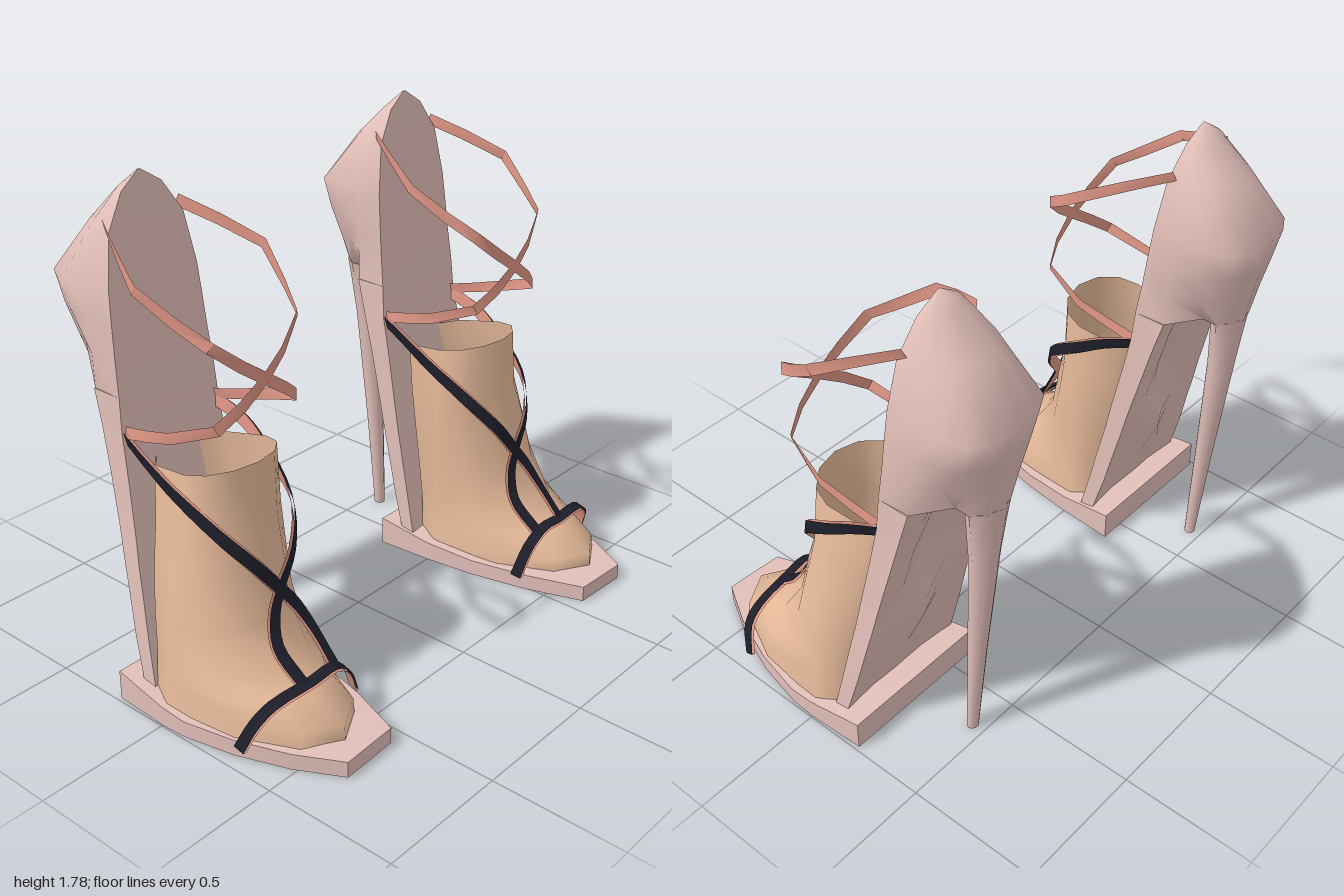
import * as THREE from 'three';
import { toCreasedNormals } from 'three/addons/utils/BufferGeometryUtils.js';

const V = (x, y, z) => new THREE.Vector3(x, y, z);

function indexed(points, index) {
  const g = new THREE.BufferGeometry().setFromPoints(points);
  g.setIndex(index);
  return g;
}

// Skin closed rings (listed bottom to top, counter-clockwise from above)
function loft(rings, capped = true) {
  const n = rings[0].length, points = rings.flat(), index = [];
  for (let i = 0; i < rings.length - 1; i++) {
    for (let j = 0; j < n; j++) {
      const a = i * n + j, b = i * n + (j + 1) % n;
      index.push(a, b, b + n, a, b + n, a + n);
    }
  }
  const cap = (ring, start, up) => {
    const c = V(0, 0, 0);
    ring.forEach((p) => c.addScaledVector(p, 1 / n));
    const k = points.push(c) - 1;
    for (let j = 0; j < n; j++) {
      const a = start + j, b = start + (j + 1) % n;
      index.push(...(up ? [k, a, b] : [k, b, a]));
    }
  };
  if (capped) {
    cap(rings[0], 0, false);
    cap(rings[rings.length - 1], (rings.length - 1) * n, true);
  }
  return indexed(points, index);
}

// Flat band along points, facing the direction given by outward(p)
function ribbon(path, width, outward, lift = 0) {
  const points = [], index = [];
  path.forEach((p, i) => {
    const t = path[Math.min(i + 1, path.length - 1)].clone().sub(path[Math.max(i - 1, 0)]).normalize();
    const out = outward(p).normalize();
    const side = out.clone().cross(t).normalize().multiplyScalar(width / 2);
    const c = p.clone().addScaledVector(out, lift);
    points.push(c.clone().add(side), c.clone().sub(side));
    if (i) {
      const a = 2 * i - 2;
      index.push(a, a + 1, a + 3, a, a + 3, a + 2);
    }
  });
  return indexed(points, index);
}

const smooth = (pts, n) => new THREE.CatmullRomCurve3(pts).getPoints(n);

function soleGeometry() {
  const outline = [[0.985, -0.22], [0.7, -0.22], [0.4, -0.22], [0.415, 0], [0.44, 0.2], [0.49, 0.42],
    [0.565, 0.635], [0.79, 0.645], [0.88, 0.48], [0.95, 0.29], [0.99, 0.1], [0.995, 0]];
  const top = (z) => 0.06 + 0.05 * Math.max(0, Math.min(1, (0.08 - z) / 0.3));
  return loft([outline.map(([x, z]) => V(x, 0, z)), outline.map(([x, z]) => V(x, top(z), z))]);
}

function footGeometry() {
  // y, centre x, half width, front z, back z, bluntness of the front
  const levels = [
    [0.06, 0.712, 0.262, 0.565, -0.125, 1], [0.115, 0.71, 0.256, 0.56, -0.13, 1],
    [0.18, 0.708, 0.25, 0.405, -0.135, 0.7], [0.23, 0.705, 0.247, 0.32, -0.14, 0.75],
    [0.37, 0.697, 0.24, 0.225, -0.165, 0.85], [0.53, 0.682, 0.226, 0.195, -0.195, 1],
    [0.68, 0.664, 0.206, 0.155, -0.225, 1], [0.885, 0.655, 0.185, 0.15, -0.258, 1]];
  const n = 12;
  return loft(levels.map(([y, cx, w, zf, zb, e], k) => Array.from({ length: n }, (_, j) => {
    const a = j / n * Math.PI * 2, s = Math.sin(a);
    const z = s > 0 ? zb * Math.pow(s, 0.6) : zf * Math.pow(-s, e);
    return V(cx + w * Math.cos(a), y + (k === levels.length - 1 ? z * 0.18 : 0), z);
  })), false);
}

function shankGeometry() {
  // y, centre x, half width, front z, rim back z, centre back z
  const levels = [
    [0.07, 0.685, 0.265, -0.075, -0.13, -0.12], [0.25, 0.68, 0.255, -0.115, -0.18, -0.175],
    [0.42, 0.673, 0.245, -0.15, -0.22, -0.25], [0.5, 0.67, 0.24, -0.168, -0.24, -0.26],
    [0.62, 0.665, 0.233, -0.19, -0.267, -0.225], [0.8, 0.66, 0.222, -0.225, -0.312, -0.26],
    [0.955, 0.655, 0.216, -0.255, -0.352, -0.31], [1.08, 0.655, 0.21, -0.265, -0.387, -0.37]];
  return loft(levels.map(([y, cx, w, zf, zb, zc]) => [
    [1, zf], [1, zb], [0.45, zb + 0.012], [0, zc], [-0.45, zb + 0.012], [-1, zb], [-1, zf],
  ].map(([k, z]) => V(cx + k * w, y, z))));
}

function heelCupGeometry() {
  // y, then half-outline (half width, z) from the front corner to the back
  const levels = [
    [1.08, [[0.21, -0.265], [0.205, -0.387], [0.088, -0.47], [0.09, -0.53], [0.055, -0.57], [0, -0.584]]],
    [1.2, [[0.203, -0.28], [0.206, -0.39], [0.155, -0.48], [0.127, -0.545], [0.072, -0.59], [0, -0.605]]],
    [1.32, [[0.197, -0.292], [0.207, -0.4], [0.19, -0.5], [0.155, -0.575], [0.09, -0.615], [0, -0.629]]],
    [1.43, [[0.19, -0.303], [0.2, -0.4], [0.193, -0.52], [0.168, -0.6], [0.1, -0.638], [0, -0.652]]],
    [1.61, [[0.158, -0.322], [0.155, -0.37], [0.142, -0.43], [0.11, -0.475], [0.065, -0.507], [0, -0.517]]],
    [1.725, [[0.085, -0.337], [0.083, -0.355], [0.072, -0.375], [0.055, -0.39], [0.03, -0.4], [0, -0.405]]],
    [1.778, [[0.006, -0.344], [0.006, -0.346], [0.005, -0.347], [0.004, -0.348], [0.002, -0.349], [0, -0.35]]]];
  return loft(levels.map(([y, half]) => [
    ...half.map(([w, z]) => V(0.655 + w, y, z)),
    ...half.slice(0, -1).reverse().map(([w, z]) => V(0.655 - w, y, z)),
  ]));
}

function spikeGeometry() {
  // y, half width, front z, back z
  const levels = [[0, 0.023, -0.43, -0.47], [0.39, 0.036, -0.445, -0.507],
    [0.86, 0.058, -0.462, -0.558], [1.0, 0.077, -0.467, -0.573], [1.09, 0.09, -0.47, -0.584]];
  return loft(levels.map(([y, w, zf, zb]) => Array.from({ length: 10 }, (_, j) => {
    const a = j / 10 * Math.PI * 2;
    return V(0.655 + w * Math.cos(a), y, (zf + zb) / 2 - (zf - zb) / 2 * Math.sin(a));
  })));
}

export function createModel() {
  const mat = (name, color, side = THREE.FrontSide) => {
    const m = new THREE.MeshStandardMaterial({ color, side });
    m.name = name;
    return m;
  };
  const blush = mat('blush leather', 0xe2bfb9);
  const skin = mat('skin', 0xe6ba9a, THREE.DoubleSide);
  const black = mat('black strap', 0x1e1e2a, THREE.DoubleSide);
  const salmon = mat('salmon strap', 0xdf9685, THREE.DoubleSide);

  // name, geometry, material, crease angle
  const parts = [
    ['sole', soleGeometry(), blush, 0.5],
    ['foot', footGeometry(), skin, 1.4],
    ['shankPanel', shankGeometry(), blush, 1],
    ['heelCup', heelCupGeometry(), blush, 1.1],
    ['heelSpike', spikeGeometry(), blush, 0.9],
  ];

  // Toe strap
  const toePath = smooth([V(0.975, 0.06, 0.34), V(0.935, 0.155, 0.375), V(0.865, 0.197, 0.39),
    V(0.7, 0.213, 0.41), V(0.6, 0.222, 0.415), V(0.52, 0.165, 0.405), V(0.465, 0.055, 0.39)], 18);
  const toeOut = (p) => V(p.x - 0.7, p.y * 1.2, 0.06);
  parts.push(['toeStrap', ribbon(toePath, 0.042, toeOut), black, 0.7]);
  parts.push(['toeStrapLining', ribbon(toePath, 0.048, toeOut, -0.009), salmon, 0.7]);

  // Crossed instep straps and crossed ankle straps, each with a twin reflected about the ankle
  const around = (p) => V(p.x - 0.655, Math.max(0, 0.5 - p.y) * 0.6, p.z + 0.06);
  for (const k of [1, -1]) {
    const at = (dx, y, z) => V(0.655 + k * dx, y, z);
    const instep = smooth([at(-0.075, 0.21, 0.405), at(-0.083, 0.31, 0.3), at(-0.05, 0.4, 0.255),
      at(0, 0.47, 0.235), at(0.085, 0.58, 0.215), at(0.17, 0.7, 0.135), at(0.215, 0.82, -0.03),
      at(0.222, 0.89, -0.14), at(0.205, 0.94, -0.26)], 30);
    parts.push(['instepStrap', ribbon(instep, 0.042, around), black, 0.7]);
    parts.push(['instepStrapLining', ribbon(instep, 0.049, around, -0.009), salmon, 0.7]);
    const ankle = [at(0.155, 1.64, -0.35), at(0.22, 1.585, -0.22), at(0.28, 1.52, -0.08),
      at(0.235, 1.43, 0.05), at(0.19, 1.365, 0.15), at(0.09, 1.28, 0.182), at(0, 1.215, 0.192),
      at(-0.1, 1.145, 0.182), at(-0.18, 1.085, 0.15), at(-0.222, 1.02, -0.02),
      at(-0.212, 0.985, -0.14), at(-0.2, 0.955, -0.26)];
    parts.push(['ankleStrap', ribbon(ankle, 0.04, around), salmon, 0.7]);
  }

  // Left shoe as built, right shoe mirrored with its faces turned over
  const model = new THREE.Group();
  model.name = 'highHeelPair';
  for (const s of [1, -1]) {
    const shoe = new THREE.Group();
    shoe.name = s > 0 ? 'leftShoe' : 'rightShoe';
    for (const [name, geometry, material, crease] of parts) {
      const g = geometry.clone();
      if (s < 0) {
        g.scale(-1, 1, 1);
        g.setIndex(Array.from(g.index.array).reverse());
      }
      const mesh = new THREE.Mesh(toCreasedNormals(g, crease), material);
      mesh.name = name;
      shoe.add(mesh);
    }
    model.add(shoe);
  }
  return model;
}
